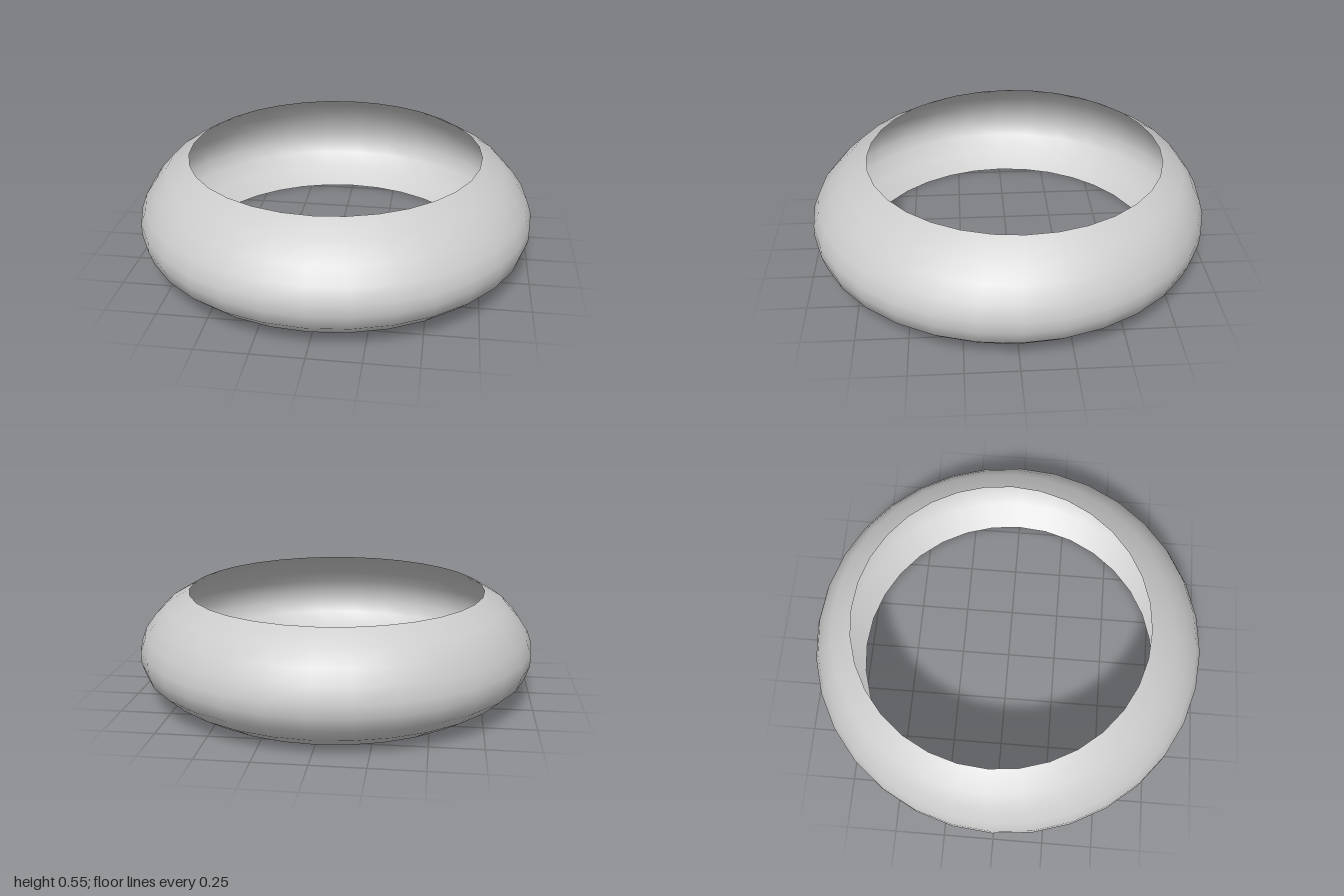
import * as THREE from 'three';

const SEGMENTS = 32;

// Cross-sections of the band from bottom to top: [y, radius, centre x, centre z]
const RINGS = [
  [0, 0.785, 0, 0],
  [0.07, 0.9, 0, 0],
  [0.14, 0.975, 0, 0],
  [0.21, 0.998, 0, -0.002],
  [0.27, 0.998, 0, -0.004],
  [0.34, 0.972, 0, -0.008],
  [0.41, 0.922, -0.003, -0.02],
  [0.48, 0.855, -0.006, -0.031],
  [0.545, 0.743, -0.007, -0.037],
];

// Joins the rings into one smooth open surface
function loftRings(rings, segments) {
  const positions = [];
  const indices = [];
  rings.forEach(([y, r, cx, cz], i) => {
    for (let j = 0; j < segments; j++) {
      const a = (j / segments) * Math.PI * 2;
      positions.push(cx + r * Math.sin(a), y, cz + r * Math.cos(a));
      if (i === rings.length - 1) continue;
      const p = i * segments + j;
      const q = i * segments + ((j + 1) % segments);
      indices.push(p, q, q + segments, p, q + segments, p + segments);
    }
  });
  const geometry = new THREE.BufferGeometry();
  geometry.setAttribute('position', new THREE.Float32BufferAttribute(positions, 3));
  geometry.setIndex(indices);
  geometry.computeVertexNormals();
  return geometry;
}

export function createModel() {
  const group = new THREE.Group();
  group.name = 'ring';

  // Thin bulging band, open at the top and the bottom
  const material = new THREE.MeshStandardMaterial({ color: 0xcccccc, side: THREE.DoubleSide });
  const band = new THREE.Mesh(loftRings(RINGS, SEGMENTS), material);
  band.name = 'band';
  group.add(band);

  return group;
}
